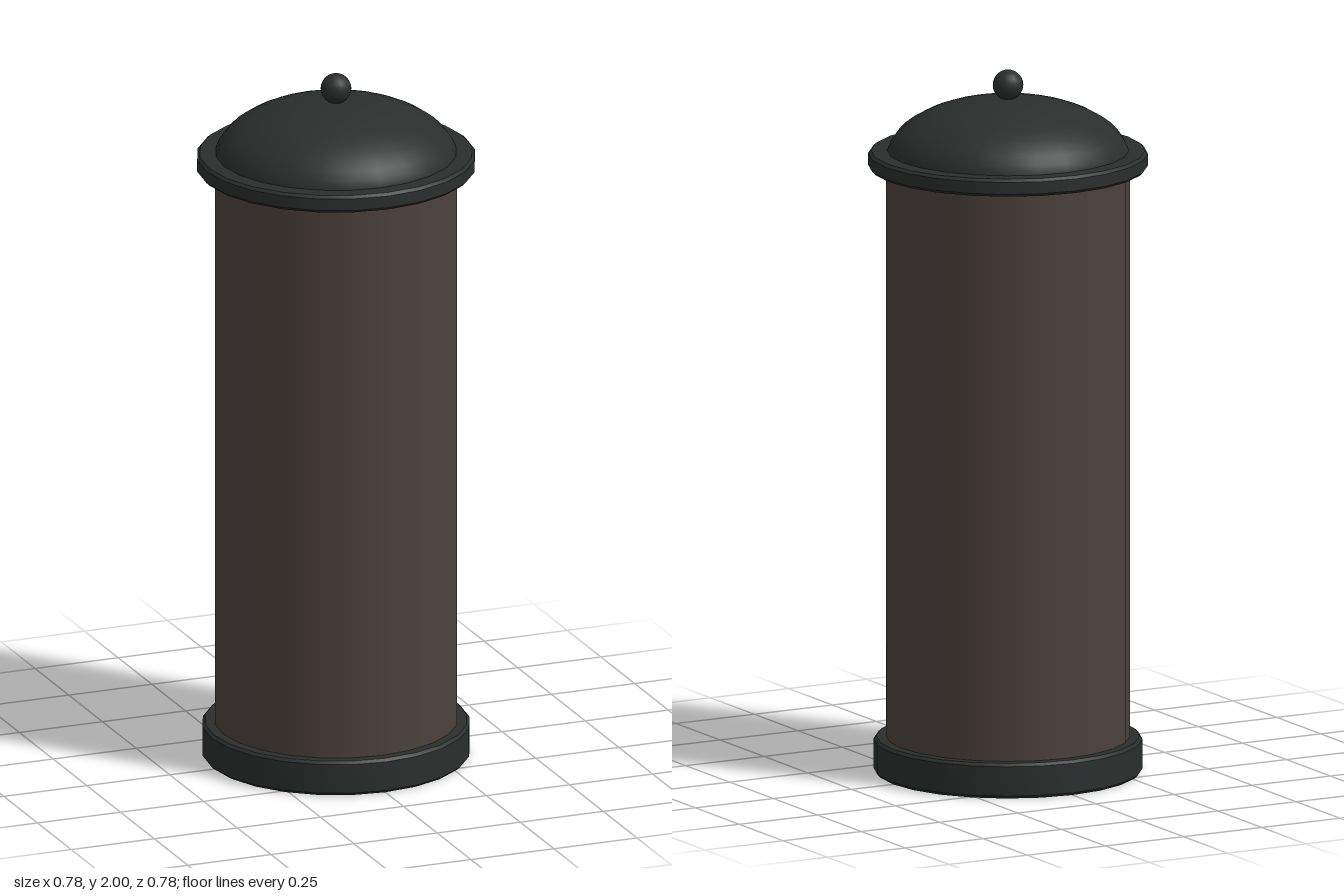
import * as THREE from 'three';
import { toCreasedNormals } from 'three/addons/utils/BufferGeometryUtils.js';

const SEGMENTS = 24;
const darkMetal = new THREE.MeshStandardMaterial({ color: 0x2a2e2d });
const brownBody = new THREE.MeshStandardMaterial({ color: 0x4a413c });

function addPart(group, name, geometry, material, y) {
  const mesh = new THREE.Mesh(geometry, material);
  mesh.name = name;
  mesh.position.y = y;
  group.add(mesh);
  return mesh;
}

// Solid disc with small bevels on its outer edges, standing on y = 0
function bevelledDisc(radius, height, bevel) {
  const profile = [
    [0, 0], [radius - bevel, 0], [radius, bevel],
    [radius, height - bevel], [radius - bevel, height], [0, height],
  ].map(([x, y]) => new THREE.Vector2(x, y));
  return toCreasedNormals(new THREE.LatheGeometry(profile, SEGMENTS), 0.6);
}

export function createModel() {
  const group = new THREE.Group();
  group.name = 'canister';

  // Base and main cylinder
  addPart(group, 'base', bevelledDisc(0.375, 0.1, 0.008), darkMetal, 0);
  addPart(group, 'body', new THREE.CylinderGeometry(0.34, 0.34, 1.66, SEGMENTS), brownBody, 0.91);

  // Lid: flat rim, shallow dome and ball knob
  addPart(group, 'lidRim', bevelledDisc(0.39, 0.05, 0.008), darkMetal, 1.72);
  const dome = addPart(group, 'lidDome',
    new THREE.SphereGeometry(0.34, SEGMENTS, 12, 0, Math.PI * 2, 0, Math.PI / 2), darkMetal, 1.75);
  dome.scale.y = 0.5;
  addPart(group, 'lidKnob', new THREE.SphereGeometry(0.043, 16, 12), darkMetal, 1.957);

  return group;
}
